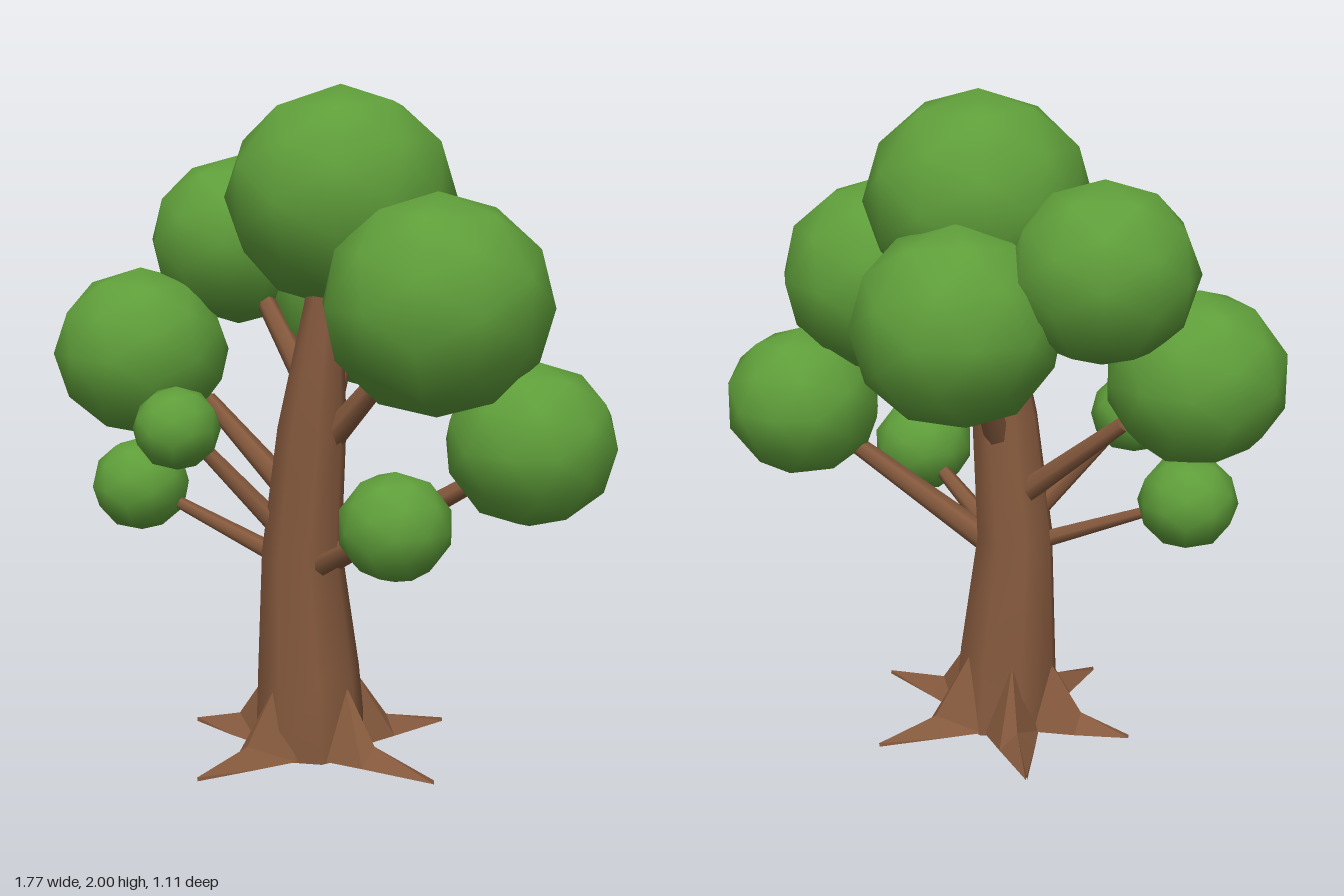
import * as THREE from 'three';
import { mergeVertices } from 'three/addons/utils/BufferGeometryUtils.js';

const bark = new THREE.MeshStandardMaterial({ color: 0x85593d });
bark.name = 'bark brown';
const leaf = new THREE.MeshStandardMaterial({ color: 0x5f9e3a });
leaf.name = 'leaf green';

const V = (x, y, z) => new THREE.Vector3(x, y, z);

function add(parent, geometry, material, name) {
  const mesh = new THREE.Mesh(geometry, material);
  mesh.name = name;
  parent.add(mesh);
  return mesh;
}

// Eight-sided trunk; each ring is [y, centre x, centre z, radius]
function trunkGeometry() {
  const rings = [
    [0, -0.03, 0.11, 0.172], [0.25, -0.032, 0.12, 0.156], [0.62, -0.05, 0.128, 0.122],
    [1.0, -0.012, 0.128, 0.104], [1.37, 0.025, 0.12, 0.058], [1.5, 0.03, 0.11, 0.05],
  ];
  const geo = new THREE.CylinderGeometry(1, 1, rings.length - 1, 8, rings.length - 1);
  const p = geo.attributes.position;
  for (let i = 0; i < p.count; i++) {
    const [y, cx, cz, r] = rings[Math.round(p.getY(i) + (rings.length - 1) / 2)];
    p.setXYZ(i, cx + p.getX(i) * r, y, cz + p.getZ(i) * r);
  }
  geo.deleteAttribute('uv');
  const merged = mergeVertices(geo);
  merged.computeVertexNormals();
  return merged;
}

// Pointed root along +x: triangular sections falling steeply, then flattening to a tip
function rootGeometry(length) {
  const sections = [[0.02, 0.26, 0.1], [0.14, 0.23, 0.085], [0.26, 0.06, 0.055], [length, 0.016, 0.002]];
  const pos = [], index = [];
  for (const [x, h, w] of sections) pos.push(x, 0.005, w, x, h, 0, x, 0.005, -w);
  for (let s = 0; s < sections.length - 1; s++) {
    for (let k = 0; k < 3; k++) {
      const a = s * 3 + k, b = s * 3 + (k + 1) % 3;
      index.push(a, a + 3, b, b, a + 3, b + 3);
    }
  }
  const geo = new THREE.BufferGeometry();
  geo.setAttribute('position', new THREE.Float32BufferAttribute(pos, 3));
  geo.setIndex(index);
  const flat = geo.toNonIndexed();
  flat.computeVertexNormals();
  return flat;
}

// Tapered six-sided limb between two points
function addBranch(parent, from, to, r0, r1) {
  const dir = to.clone().sub(from);
  const mesh = add(parent, new THREE.CylinderGeometry(r1, r0, dir.length(), 6), bark, 'branch');
  mesh.position.copy(from).add(to).multiplyScalar(0.5);
  mesh.quaternion.setFromUnitVectors(V(0, 1, 0), dir.normalize());
}

export function createModel() {
  const tree = new THREE.Group();
  tree.name = 'tree';

  add(tree, trunkGeometry(), bark, 'trunk');

  // Five roots fanning out, given by the ground position of each tip
  const roots = new THREE.Group();
  roots.name = 'roots';
  tree.add(roots);
  const cx = -0.03, cz = 0.11;
  for (const [x, z] of [[-0.45, 0.14], [0.2, -0.29], [-0.13, 0.55], [0.455, 0.19], [-0.3, -0.26]]) {
    const root = add(roots, rootGeometry(Math.hypot(x - cx, z - cz)), bark, 'root');
    root.position.set(cx, 0, cz);
    root.rotation.y = -Math.atan2(z - cz, x - cx);
  }

  // Branches: start, end, radius at each end
  const branches = new THREE.Group();
  branches.name = 'branches';
  tree.add(branches);
  for (const [a, b, r0, r1] of [
    [[-0.1, 0.59, 0.15], [-0.46, 0.735, 0.215], 0.03, 0.018],
    [[-0.09, 0.68, 0.17], [-0.3, 0.95, 0.31], 0.034, 0.022],
    [[-0.07, 0.75, 0.1], [-0.43, 1.04, 0.09], 0.042, 0.026],
    [[-0.02, 1.07, 0.09], [-0.33, 1.4, -0.03], 0.042, 0.027],
    [[0.04, 0.96, 0.12], [0.29, 1.23, 0.13], 0.042, 0.028],
    [[0.03, 0.585, 0.16], [0.33, 0.745, 0.29], 0.034, 0.022],
    [[0.03, 0.59, 0.1], [0.48, 0.87, 0.02], 0.042, 0.028],
    [[-0.02, 0.92, 0.08], [-0.05, 1.18, -0.1], 0.042, 0.028],
  ]) addBranch(branches, V(...a), V(...b), r0, r1);

  // Faceted leaf balls: x, y, z, radius
  const foliage = new THREE.Group();
  foliage.name = 'foliage';
  tree.add(foliage);
  [
    [0.035, 1.672, 0.045, 0.342],
    [0.432, 1.388, 0.158, 0.33],
    [0.64, 0.992, -0.015, 0.25],
    [0.41, 0.79, 0.34, 0.163],
    [-0.435, 1.522, -0.08, 0.275],
    [-0.62, 1.186, 0.176, 0.272],
    [-0.06, 1.362, -0.25, 0.31],
    [-0.34, 0.996, 0.358, 0.131],
    [-0.58, 0.78, 0.24, 0.152],
  ].forEach(([x, y, z, r], i) => {
    const ball = add(foliage, new THREE.IcosahedronGeometry(r, 1), leaf, 'leafBall');
    ball.position.set(x, y, z);
    ball.scale.y = 0.955;
    ball.rotation.y = i * 0.9;
  });

  return tree;
}
